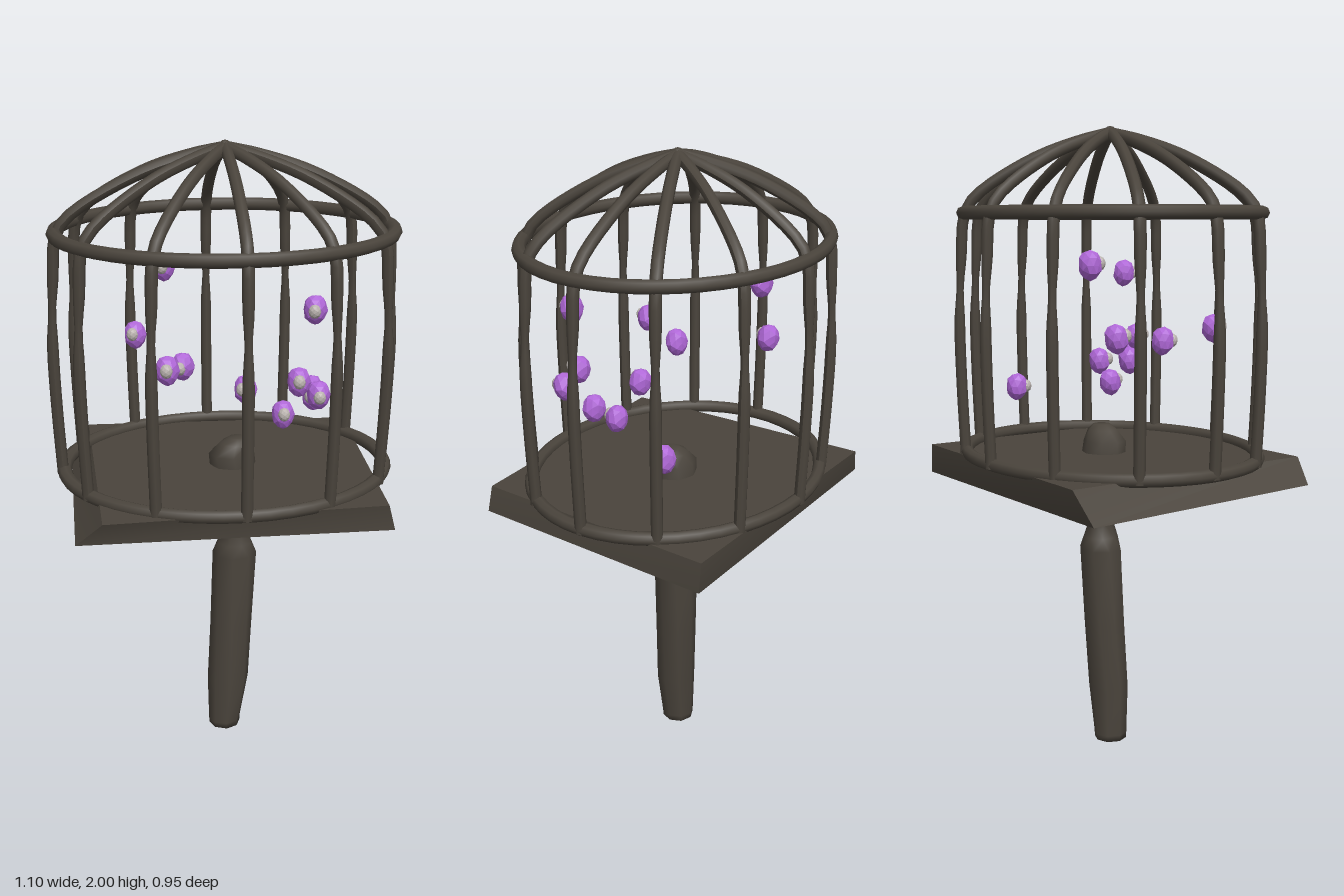
import * as THREE from 'three';

const iron = new THREE.MeshStandardMaterial({ color: 0x4a443c });
iron.name = 'dark iron';
const purple = new THREE.MeshStandardMaterial({ color: 0xb068d8 });
purple.name = 'purple petals';
const pale = new THREE.MeshStandardMaterial({ color: 0xb9b2ae });
pale.name = 'pale tuft';
purple.flatShading = pale.flatShading = true;

const DEPTH = 0.855; // the cage is an ellipse, narrower front to back

function add(group, name, geometry, material) {
  const mesh = new THREE.Mesh(geometry, material);
  mesh.name = name;
  group.add(mesh);
  return mesh;
}

// One bar from the floor ring to the apex, pinched partway up
function barGeometry(angle) {
  const c = Math.cos(angle), s = Math.sin(angle) * DEPTH;
  const profile = [[0.52, 0.97], [0.53, 1.2], [0.533, 1.4], [0.523, 1.6], [0.508, 1.735],
    [0.465, 1.79], [0.27, 1.9], [0.1, 1.957], [0, 1.979]];
  const curve = new THREE.CatmullRomCurve3(profile.map(([r, y]) => new THREE.Vector3(r * c, y, r * s)));
  const segments = 32, sides = 8;
  const geo = new THREE.TubeGeometry(curve, segments, 0.018, sides);
  const pos = geo.attributes.position, v = new THREE.Vector3();
  for (let i = 0; i < pos.count; i++) {
    const centre = curve.getPointAt(Math.floor(i / (sides + 1)) / segments);
    const k = 1 - 0.35 * Math.exp(-(((centre.y - 1.5) / 0.07) ** 2));
    v.fromBufferAttribute(pos, i).sub(centre).multiplyScalar(k).add(centre);
    pos.setXYZ(i, v.x, v.y, v.z);
  }
  geo.computeVertexNormals();
  return geo;
}

// Loft through eight-sided sections: [y, centreX, centreZ, radiusX, radiusZ, twist]
function loft(sections, sides = 8) {
  const pts = [], idx = [];
  for (const [y, cx, cz, rx, rz, twist] of sections) {
    for (let i = 0; i < sides; i++) {
      const a = (i / sides) * Math.PI * 2 + twist;
      pts.push(cx + Math.cos(a) * rx, y, cz + Math.sin(a) * rz);
    }
  }
  for (let j = 0; j < sections.length - 1; j++) {
    for (let i = 0; i < sides; i++) {
      const a = j * sides + i, b = j * sides + (i + 1) % sides;
      idx.push(a, a + sides, b, b, a + sides, b + sides);
    }
  }
  const top = (sections.length - 1) * sides;
  for (let i = 1; i < sides - 1; i++) {
    idx.push(0, i, i + 1, top, top + i + 1, top + i);
  }
  const geo = new THREE.BufferGeometry();
  geo.setAttribute('position', new THREE.Float32BufferAttribute(pts, 3));
  geo.setIndex(idx);
  geo.computeVertexNormals();
  return geo;
}

// Skewed floor slab: box corners moved to an uneven outline
function slabGeometry() {
  const corners = {
    '-1,1,1': [-0.42, 0.975, 0.43], '1,1,1': [0.437, 0.975, 0.412],
    '-1,1,-1': [-0.42, 0.975, -0.432], '1,1,-1': [0.482, 0.97, -0.392],
    '-1,-1,1': [-0.5, 0.9, 0.4], '1,-1,1': [0.457, 0.895, 0.415],
    '-1,-1,-1': [-0.485, 0.875, -0.405], '1,-1,-1': [0.49, 0.875, -0.39],
  };
  const geo = new THREE.BoxGeometry(2, 2, 2);
  const pos = geo.attributes.position;
  for (let i = 0; i < pos.count; i++) {
    pos.setXYZ(i, ...corners[[pos.getX(i), pos.getY(i), pos.getZ(i)].join()]);
  }
  geo.computeVertexNormals();
  return geo;
}

// Faceted bud, wider above its middle
function budGeometry() {
  const geo = new THREE.IcosahedronGeometry(1, 1);
  const pos = geo.attributes.position;
  for (let i = 0; i < pos.count; i++) {
    const x = pos.getX(i), y = pos.getY(i), z = pos.getZ(i);
    const k = 1 + 0.07 * Math.sin(x * 7 + y * 5 + z * 9) + 0.1 * y;
    pos.setXYZ(i, x * k * 0.036, y * 0.046, z * k * 0.036);
  }
  geo.computeVertexNormals();
  return geo;
}

export function createModel() {
  const model = new THREE.Group();
  model.name = 'birdcageLantern';

  // Cage
  const cage = new THREE.Group();
  cage.name = 'cage';
  model.add(cage);
  const ringGeo = new THREE.TorusGeometry(0.515, 0.023, 8, 48).rotateX(Math.PI / 2).scale(1, 0.9, DEPTH);
  add(cage, 'lowerRing', ringGeo, iron).position.y = 0.98;
  add(cage, 'upperRing', ringGeo, iron).position.y = 1.735;
  for (let i = 0; i < 12; i++) add(cage, 'cageBar', barGeometry((i * Math.PI) / 6), iron);
  const apex = add(cage, 'apex', new THREE.SphereGeometry(0.02, 8, 6), iron);
  apex.position.y = 1.98;

  // Floor and twisted handle, whose end pokes through as a knob
  add(model, 'floorSlab', slabGeometry(), iron);
  add(model, 'handle', loft([
    [0, -0.002, 0, 0.053, 0.053, 0],
    [0.02, -0.002, 0, 0.054, 0.054, 0],
    [0.18, 0.01, 0, 0.07, 0.062, 0],
    [0.4, 0.022, -0.008, 0.07, 0.066, 0.1],
    [0.65, 0.034, -0.015, 0.073, 0.07, 0.2],
    [0.69, 0.034, -0.014, 0.058, 0.056, 0.5],
    [0.75, 0.035, -0.012, 0.036, 0.038, 1.2],
    [0.81, 0.036, -0.012, 0.058, 0.056, 1.9],
    [0.86, 0.037, -0.012, 0.073, 0.067, 2.2],
    [0.94, 0.03, -0.008, 0.076, 0.07, 2.3],
    [1.01, 0.022, -0.005, 0.074, 0.067, 2.4],
    [1.045, 0.036, -0.004, 0.052, 0.048, 2.5],
    [1.062, 0.042, -0.004, 0.028, 0.028, 2.5],
  ]), iron);

  // Floating buds, each with a pale tuft at the front
  const budGeo = budGeometry();
  const tuftGeo = new THREE.IcosahedronGeometry(0.02, 1).scale(0.95, 1.1, 0.9);
  const spots = [
    [-0.17, 1.58, -0.195], [0.235, 1.535, 0.228], [-0.268, 1.368, -0.17], [-0.207, 1.375, 0.253],
    [-0.145, 1.338, 0.1], [0.187, 1.32, 0.245], [0.047, 1.26, 0.112], [0.245, 1.28, 0.258],
    [0.255, 1.238, 0.14], [0.165, 1.175, 0.12], [0.315, 1.165, -0.155],
  ];
  spots.forEach((p, i) => {
    const bud = new THREE.Group();
    bud.name = 'bud';
    bud.position.set(...p);
    bud.rotation.set(0.15 * Math.sin(i * 2), -0.3 + 0.25 * Math.sin(i * 3), 0);
    add(bud, 'petals', budGeo, purple);
    add(bud, 'tuft', tuftGeo, pale).position.set(0, 0.006, 0.029);
    model.add(bud);
  });
  return model;
}
